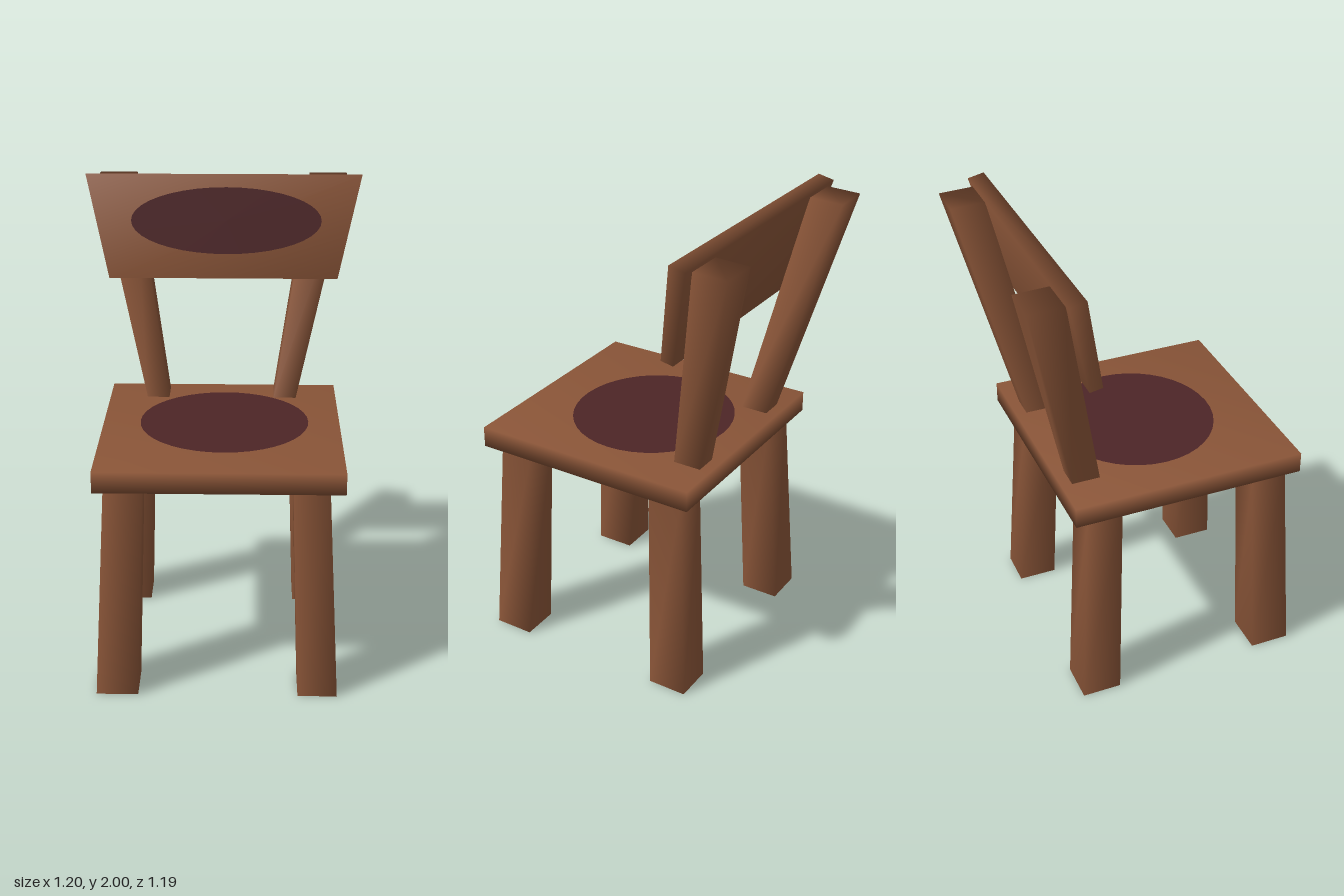
import * as THREE from 'three';
import { mergeVertices } from 'three/addons/utils/BufferGeometryUtils.js';

// An end of a beam: x range, then [y, z] of its back and front edges.
const end = (x0, x1, back, front) => ({ x: [x0, x1], back, front });
const level = (x0, x1, y, zBack, zFront) => end(x0, x1, [y, zBack], [y, zFront]);

// A box whose corners are moved to two ends; shared corners give soft shading.
function beam(name, bottom, top, material, capTop = true, capBottom = true) {
  let geo = new THREE.BoxGeometry(1, 1, 1);
  const p = geo.attributes.position;
  for (let i = 0; i < p.count; i++) {
    const e = p.getY(i) > 0 ? top : bottom;
    const [y, z] = p.getZ(i) > 0 ? e.front : e.back;
    p.setXYZ(i, e.x[p.getX(i) > 0 ? 1 : 0], y, z);
  }
  // Faces run +x, -x, +y, -y, +z, -z with six indices each.
  geo.setIndex(Array.from(geo.index.array).filter((_, i) => {
    const face = Math.floor(i / 6);
    return (face !== 2 || capTop) && (face !== 3 || capBottom);
  }));
  geo.clearGroups();
  geo.deleteAttribute('normal');
  geo.deleteAttribute('uv');
  geo = mergeVertices(geo);
  geo.computeVertexNormals();
  const mesh = new THREE.Mesh(geo, material);
  mesh.name = name;
  return mesh;
}

// A flat painted oval.
function oval(name, rx, ry, material) {
  const mesh = new THREE.Mesh(new THREE.CircleGeometry(1, 40).scale(rx, ry, 1), material);
  mesh.name = name;
  return mesh;
}

export function createModel() {
  const wood = new THREE.MeshStandardMaterial({ color: 0x8a5538, side: THREE.DoubleSide });
  wood.name = 'wood';
  const maroon = new THREE.MeshStandardMaterial({ color: 0x4d2527 });
  maroon.name = 'maroon paint';

  const chair = new THREE.Group();
  chair.name = 'chair';

  // Seat
  chair.add(beam('seat', level(-0.505, 0.505, 0.93, -0.413, 0.595),
    level(-0.505, 0.505, 1.02, -0.413, 0.595), wood));

  // Splayed hollow legs and leaning back posts
  const sides = [
    { side: 'right', foot: [-0.515, -0.34], hip: [-0.465, -0.308], base: [-0.337, -0.24], tip: [-0.555, -0.39] },
    { side: 'left', foot: [0.33, 0.495], hip: [0.296, 0.445], base: [0.227, 0.325], tip: [0.38, 0.545] },
  ];
  const rows = [
    { row: 'front', foot: [0.42, 0.595], hip: [0.392, 0.545] },
    { row: 'back', foot: [-0.4, -0.23], hip: [-0.35, -0.197] },
  ];
  for (const s of sides) {
    for (const r of rows) {
      chair.add(beam(`${r.row} ${s.side} leg`, level(...s.foot, 0, ...r.foot),
        level(...s.hip, 0.935, ...r.hip), wood, false, false));
    }
    chair.add(beam(`${s.side} back post`, level(...s.base, 1.015, -0.365, -0.244),
      end(...s.tip, [1.965, -0.597], [1.97, -0.45]), wood, true, false));
  }

  // Flared, tilted backrest
  chair.add(beam('backrest', end(-0.5, 0.5, [1.55, -0.345], [1.56, -0.29]),
    end(-0.6, 0.6, [1.985, -0.455], [2.0, -0.385]), wood));

  // Painted ovals
  const seatSpot = oval('seat spot', 0.36, 0.347, maroon);
  seatSpot.rotation.x = -Math.PI / 2;
  seatSpot.position.set(0.012, 1.024, 0.049);
  chair.add(seatSpot);

  const tilt = Math.atan2(0.095, 0.44);
  const backSpot = oval('backrest spot', 0.415, 0.144, maroon);
  backSpot.rotation.x = -tilt;
  backSpot.position.set(0.012, 1.805, -0.29 - (1.805 - 1.56) * Math.tan(tilt) + 0.004);
  chair.add(backSpot);

  return chair;
}
